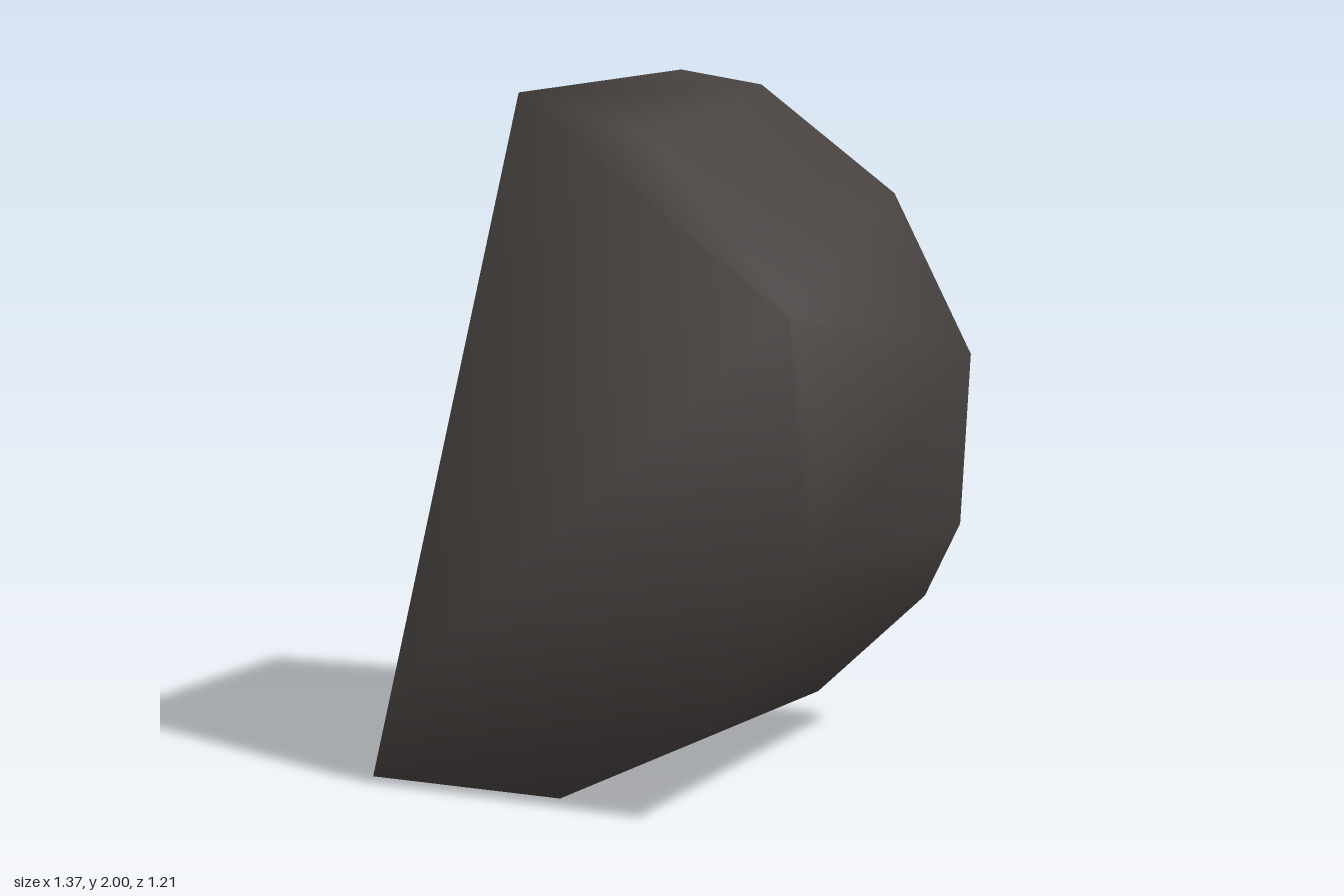
import * as THREE from 'three';
import { mergeVertices } from 'three/addons/utils/BufferGeometryUtils.js';
import { ConvexGeometry } from 'three/addons/geometries/ConvexGeometry.js';

// Corners of the rock chunk, grouped by rim
const frontRim = [
  [-0.69, 0.02, 0.59], [-0.61, 0.3, 0.6], [-0.19, 1.98, 0.59], [0.2, 1.88, 0.58],
  [0.61, 1.42, 0.58], [0.68, 1.0, 0.57], [0.67, 0.76, 0.57], [0.37, 0.28, 0.57], [-0.14, 0, 0.48],
];
const backRim = [
  [-0.13, 2.0, -0.24], [0.1, 1.96, -0.3], [0.46, 1.65, -0.44], [0.66, 1.18, -0.55],
  [0.61, 0.66, -0.61], [0.5, 0.43, -0.61], [-0.28, 0.88, -0.34], [-0.35, 0.94, -0.31],
];
const underRim = [
  [0.29, 0.18, -0.31], [-0.13, 0, 0.09], [-0.55, 0.41, 0.17], [-0.67, 0.04, 0.51],
];

// Which broken face a triangle belongs to, from its normal
function faceName(n) {
  if (n.z < -0.88) return 'backBreak';
  if (n.x < -0.88) return 'sideBreak';
  if (n.z < -0.35) return 'underside';
  return 'roundedShell';
}

export function createModel() {
  const group = new THREE.Group();
  group.name = 'rockChunk';
  const stone = new THREE.MeshStandardMaterial({ color: 0x46413f });
  stone.name = 'dark stone';

  const points = [...frontRim, ...backRim, ...underRim].map((p) => new THREE.Vector3(...p));
  const pos = new ConvexGeometry(points).getAttribute('position');

  // Sort the hull triangles into faces with crisp borders between them
  const faces = {};
  const tri = new THREE.Triangle();
  const normal = new THREE.Vector3();
  for (let i = 0; i < pos.count; i += 3) {
    tri.setFromAttributeAndIndices(pos, i, i + 1, i + 2);
    tri.getNormal(normal);
    const list = (faces[faceName(normal)] ??= []);
    for (const v of [tri.a, tri.b, tri.c]) list.push(v.x, v.y, v.z);
  }

  // Smooth each face within itself
  for (const [name, list] of Object.entries(faces)) {
    let geometry = new THREE.BufferGeometry();
    geometry.setAttribute('position', new THREE.Float32BufferAttribute(list, 3));
    geometry = mergeVertices(geometry);
    geometry.computeVertexNormals();
    const mesh = new THREE.Mesh(geometry, stone);
    mesh.name = name;
    group.add(mesh);
  }
  return group;
}
